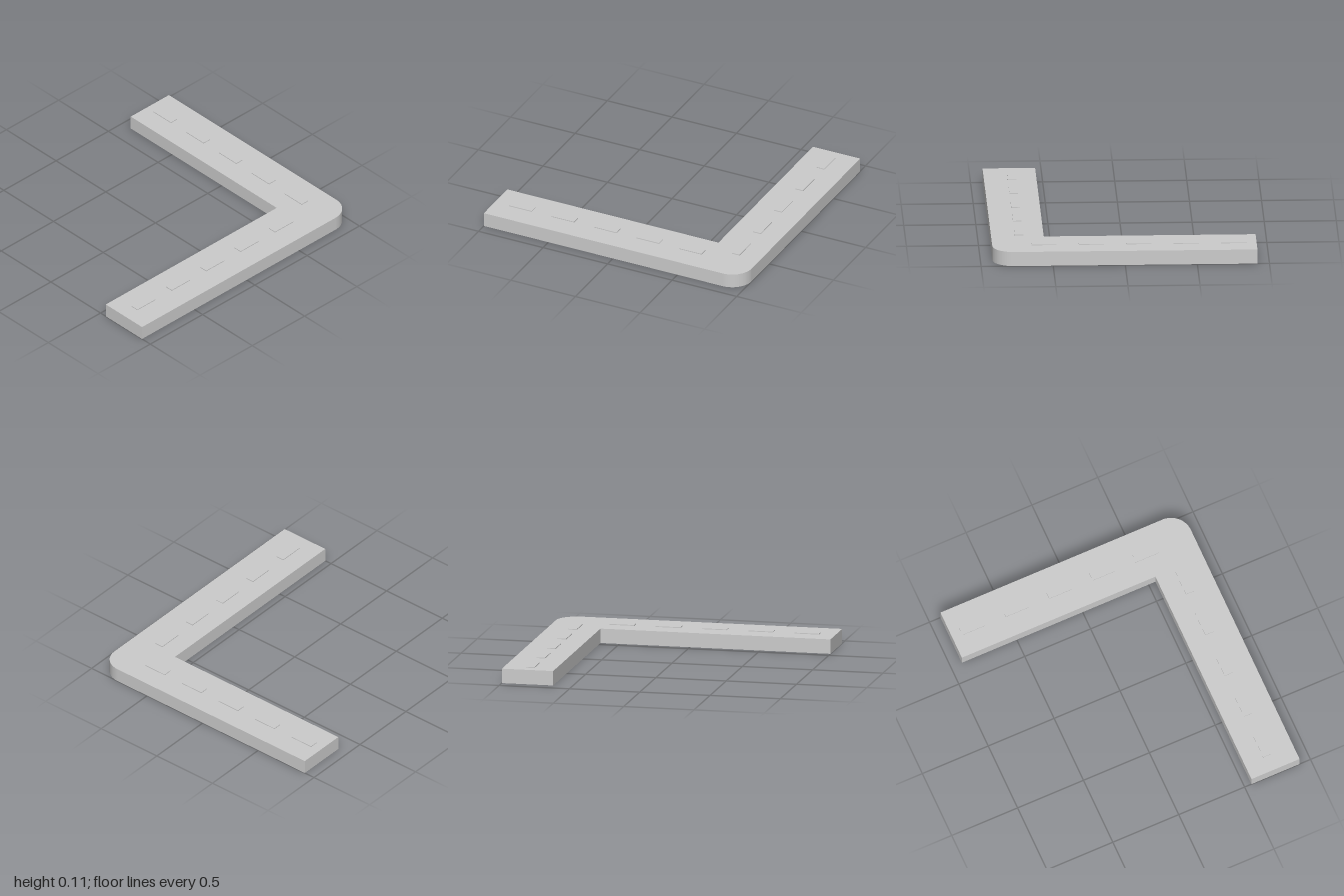
import * as THREE from 'three';

const HEIGHT = 0.102, WIDTH = 0.365, DEPTH = 0.917, RADIUS = 0.15;

export function createModel() {
  const group = new THREE.Group();
  group.name = 'roadCorner';
  const material = new THREE.MeshStandardMaterial({ color: 0xcccccc });

  const add = (name, geometry, x, y, z) => {
    const mesh = new THREE.Mesh(geometry, material);
    mesh.name = name;
    mesh.position.set(x, y, z);
    group.add(mesh);
    return mesh;
  };

  // L-shaped slab with a rounded outer corner, drawn in plan (shape y = -z)
  const plan = new THREE.Shape();
  plan.moveTo(-1, -DEPTH);
  plan.lineTo(1 - RADIUS, -DEPTH);
  plan.absarc(1 - RADIUS, -DEPTH + RADIUS, RADIUS, -Math.PI / 2, 0, false);
  plan.lineTo(1, DEPTH);
  plan.lineTo(1 - WIDTH, DEPTH);
  plan.lineTo(1 - WIDTH, -DEPTH + WIDTH);
  plan.lineTo(-1, -DEPTH + WIDTH);
  plan.closePath();
  const slab = new THREE.ExtrudeGeometry(plan, { depth: HEIGHT, bevelEnabled: false, curveSegments: 12 });
  slab.rotateX(-Math.PI / 2);
  add('roadSlab', slab, 0, 0, 0);

  // Slightly raised lane dashes, five along each arm
  const dashLength = 0.175, dashWidth = 0.06, dashHeight = 0.012, step = 0.329;
  const y = HEIGHT;
  const alongX = new THREE.BoxGeometry(dashLength, dashHeight, dashWidth);
  const alongZ = new THREE.BoxGeometry(dashWidth, dashHeight, dashLength);
  for (let i = 0; i < 5; i++) {
    add(`frontArmDash${i + 1}`, alongX, -0.8 + i * step, y, 0.722);
    add(`sideArmDash${i + 1}`, alongZ, 0.815, y, -0.758 + i * step);
  }
  return group;
}
